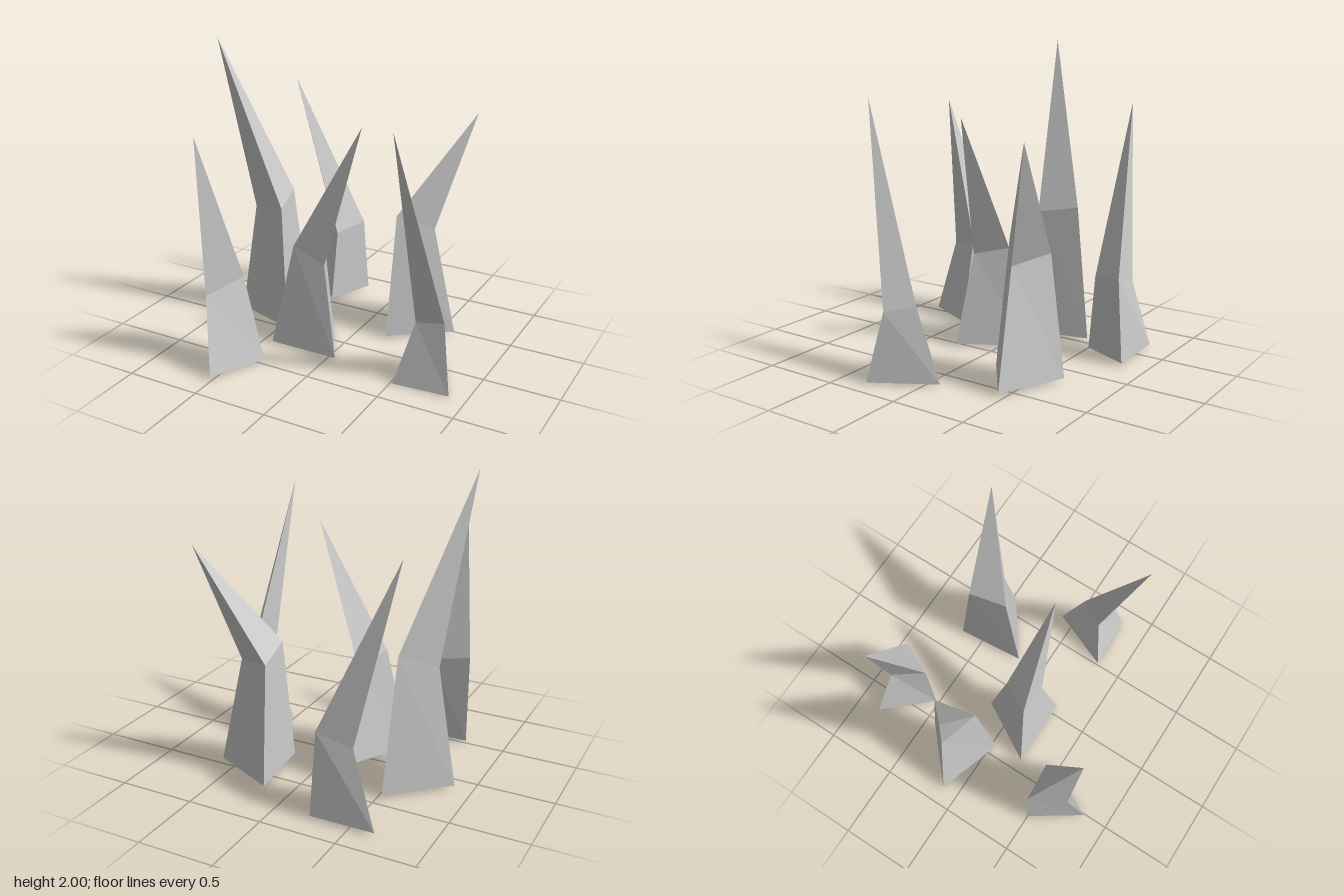
import * as THREE from 'three';

const material = new THREE.MeshStandardMaterial({ color: 0xcccccc, flatShading: true });

// Each spike: three base corners, three bend corners, one tip.
// Corners run clockwise seen from above.
const spikes = [
  { name: 'tallLeftSpike',
    base: [[-0.53, 0.02, -0.43], [-0.43, 0.02, 0.035], [-0.885, 0.02, -0.11]],
    bend: [[-0.57, 0.91, -0.315], [-0.505, 0.86, -0.045], [-0.765, 0.81, -0.135]],
    tip: [-0.895, 2, 0.053] },
  { name: 'backLeftSpike',
    base: [[-0.246, 0.02, -0.835], [-0.385, 0.02, -0.52], [-0.667, 0.02, -0.83]],
    bend: [[-0.265, 0.56, -0.79], [-0.365, 0.52, -0.57], [-0.5, 0.495, -0.77]],
    tip: [-0.722, 1.62, -0.625] },
  { name: 'backRightSpike',
    base: [[0.175, 0.02, -0.663], [0.605, 0.02, -0.467], [0.218, 0.02, -0.19]],
    bend: [[0.196, 0.8, -0.572], [0.442, 0.755, -0.45], [0.232, 0.86, -0.298]],
    tip: [0.635, 1.53, -0.655] },
  { name: 'middleSpike',
    base: [[-0.18, 0.02, -0.173], [0.06, 0.02, 0.242], [-0.418, 0.02, 0.242]],
    bend: [[-0.165, 0.675, -0.033], [-0.052, 0.63, 0.175], [-0.28, 0.72, 0.175]],
    tip: [0.178, 1.565, 0.105] },
  { name: 'rightSpike',
    base: [[0.682, 0.02, -0.1], [0.89, 0.01, 0.304], [0.514, 0, 0.318]],
    bend: [[0.7, 0.485, 0.06], [0.812, 0.45, 0.224], [0.622, 0.415, 0.226]],
    tip: [0.58, 1.7, 0.506] },
  { name: 'frontLeftSpike',
    base: [[-0.737, 0.02, 0.495], [-0.336, 0.02, 0.473], [-0.512, 0.02, 0.83]],
    bend: [[-0.737, 0.63, 0.5], [-0.47, 0.585, 0.476], [-0.592, 0.52, 0.72]],
    tip: [-0.583, 1.575, 0.77] },
];

function makeSpike({ name, base, bend, tip }) {
  const corners = [...base];
  for (let i = 0; i < 3; i++) {
    const j = (i + 1) % 3;
    corners.push(base[i], bend[i], bend[j]); // lower side
    corners.push(base[i], bend[j], base[j]);
    corners.push(bend[i], tip, bend[j]); // point
  }
  const geometry = new THREE.BufferGeometry();
  geometry.setAttribute('position', new THREE.Float32BufferAttribute(corners.flat(), 3));
  geometry.computeVertexNormals();
  const mesh = new THREE.Mesh(geometry, material);
  mesh.name = name;
  return mesh;
}

export function createModel() {
  const group = new THREE.Group();
  group.name = 'spikeCluster';
  for (const spike of spikes) group.add(makeSpike(spike));
  return group;
}
